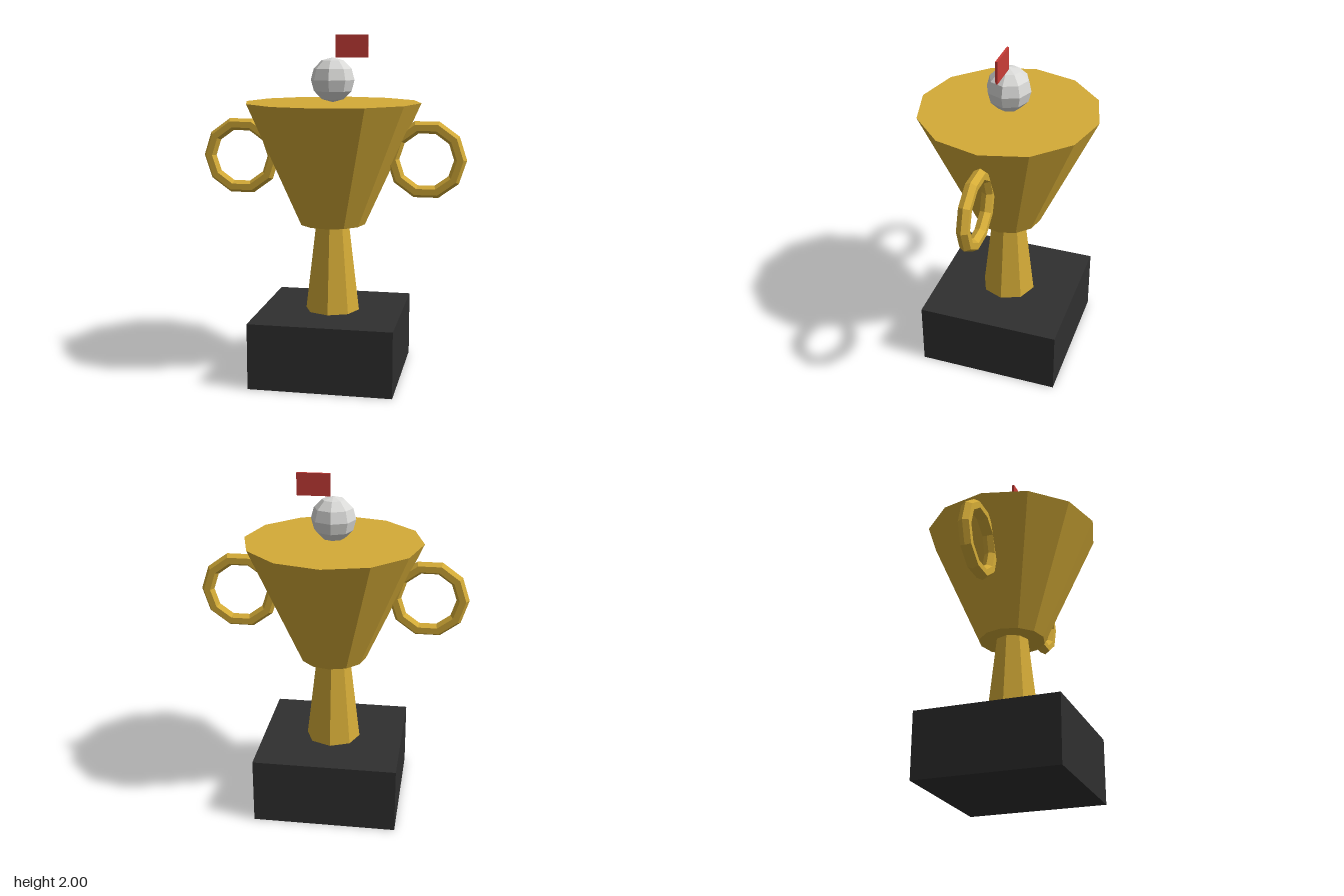
import * as THREE from 'three';

function material(name, color) {
  const m = new THREE.MeshStandardMaterial({ color, flatShading: true });
  m.name = name;
  return m;
}

export function createModel() {
  const group = new THREE.Group();
  group.name = 'trophy';

  const gold = material('gold', 0xd4ab37);
  const black = material('black', 0x2f2f2f);
  const silver = material('silver', 0xdadad8);
  const red = material('red', 0xc93c37);

  function add(name, geometry, mat, x, y, z = 0) {
    const mesh = new THREE.Mesh(geometry, mat);
    mesh.name = name;
    mesh.position.set(x, y, z);
    group.add(mesh);
    return mesh;
  }

  // Square plinth
  add('base', new THREE.BoxGeometry(0.834, 0.386, 0.834), black, 0, 0.193);

  // Tapered eight-sided stem
  add('stem', new THREE.CylinderGeometry(0.098, 0.16, 0.52, 8), gold, 0, 0.646);

  // Closed twelve-sided cup
  add('cup', new THREE.CylinderGeometry(0.514, 0.193, 0.712, 12), gold, 0, 1.261);

  // Ring handles, one on each side
  for (const [name, side] of [['leftHandle', 1], ['rightHandle', -1]]) {
    add(name, new THREE.TorusGeometry(0.194, 0.037, 6, 10), gold, side * 0.548, 1.295);
  }

  // Ball resting on the cup
  add('ball', new THREE.SphereGeometry(0.128, 8, 6), silver, 0, 1.745);

  // Small flag above the ball
  add('flag', new THREE.BoxGeometry(0.19, 0.128, 0.013), red, 0.112, 1.936);

  return group;
}
